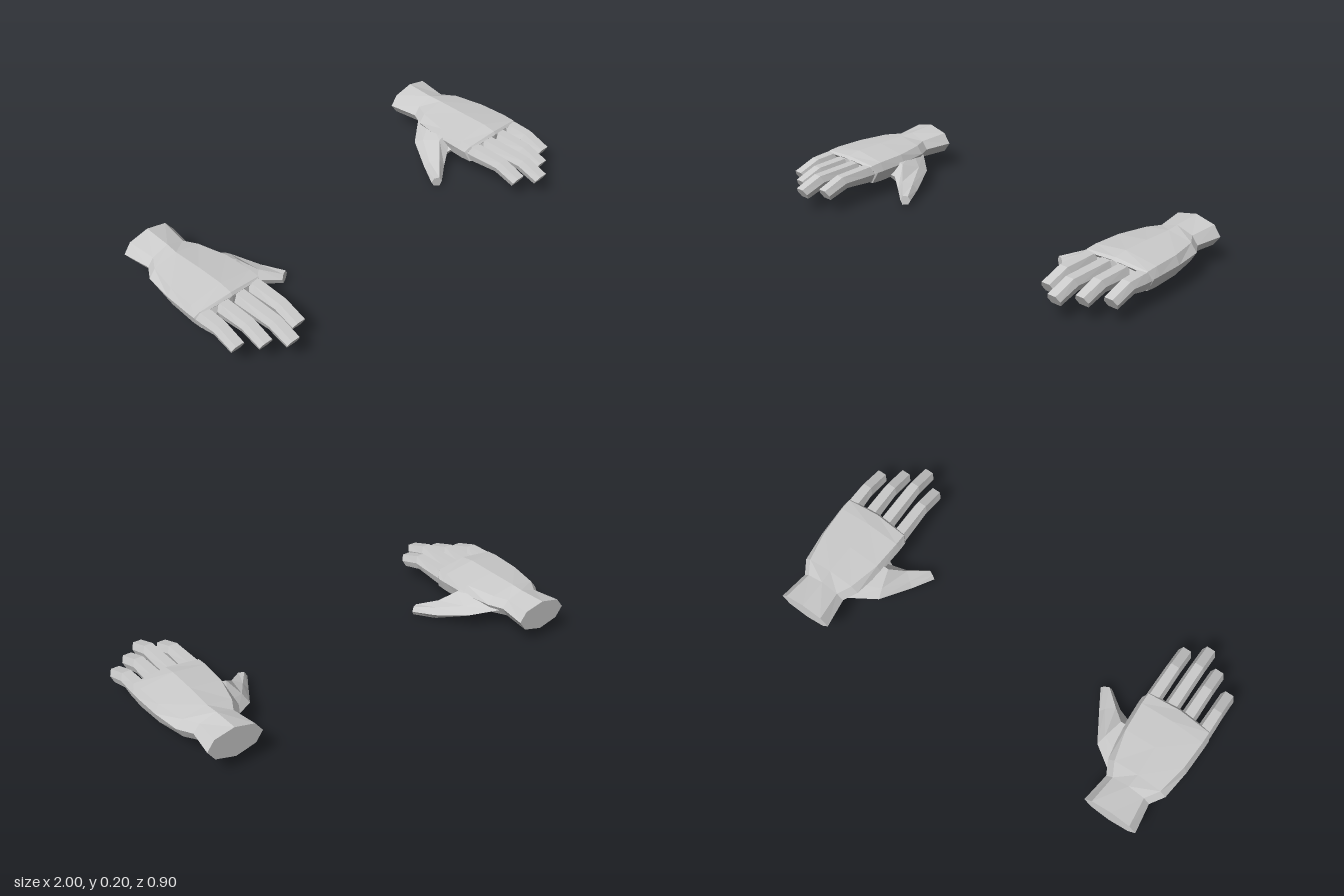
import * as THREE from 'three';

const material = new THREE.MeshStandardMaterial({ color: 0xcccccc, flatShading: true });

// Skin equal-sized rings of [x, y, z] points into a closed solid, facing outwards
function loft(name, rings, side) {
  const n = rings[0].length;
  const pts = rings.flat().map(([x, y, z]) => new THREE.Vector3(x * side, y, z));
  const tris = [];
  for (let r = 0; r < rings.length - 1; r++) {
    for (let i = 0; i < n; i++) {
      const a = r * n + i, b = r * n + (i + 1) % n;
      tris.push([a, b, b + n], [a, b + n, a + n]);
    }
  }
  const last = (rings.length - 1) * n;
  for (let i = 1; i < n - 1; i++) {
    tris.push([0, i + 1, i], [last, last + i, last + i + 1]);
  }
  // signed volume tells which way the faces turn
  let volume = 0;
  const cross = new THREE.Vector3();
  for (const [a, b, c] of tris) volume += pts[a].dot(cross.crossVectors(pts[b], pts[c]));
  const pos = [];
  for (const [a, b, c] of tris) {
    for (const k of volume < 0 ? [a, c, b] : [a, b, c]) pos.push(...pts[k].toArray());
  }
  const geometry = new THREE.BufferGeometry();
  geometry.setAttribute('position', new THREE.Float32BufferAttribute(pos, 3));
  geometry.computeVertexNormals();
  const mesh = new THREE.Mesh(geometry, material);
  mesh.name = name;
  return mesh;
}

// Eight-sided palm section; the middle can bulge forward
function palmRing(z, x0, x1, inset, [top, upper, mid, lower, bottom], bulge = 0) {
  const c = (x0 + x1) / 2;
  return [
    [c, top, z + bulge], [x1 - inset, upper, z + bulge * 0.7], [x1, mid, z], [x1 - inset, lower, z + bulge * 0.7],
    [c, bottom, z + bulge], [x0 + inset, lower, z + bulge * 0.7], [x0, mid, z], [x0 + inset, upper, z + bulge * 0.7],
  ];
}

// Six-sided finger section, slanted from its top edge to its bottom edge
function fingerRing(x, w, zTop, yTop, zBot, yBot) {
  const zm = (zTop + zBot) / 2, ym = (yTop + yBot) / 2;
  return [
    [x - w * 0.6, yTop, zTop], [x + w * 0.6, yTop, zTop], [x + w, ym, zm],
    [x + w * 0.7, yBot, zBot], [x - w * 0.7, yBot, zBot], [x - w, ym, zm],
  ];
}

// Six-sided thumb section between an outer and an inner edge [x, z, low y, high y]
function thumbRing(o, i) {
  const at = (t, k) => [o[0] + (i[0] - o[0]) * t, k, o[1] + (i[1] - o[1]) * t];
  return [
    at(0, (o[2] + o[3]) / 2), at(0.25, o[3]), at(0.75, i[3]),
    at(1, (i[2] + i[3]) / 2), at(0.8, i[2]), at(0.25, o[2]),
  ];
}

function createHand(side) {
  const hand = new THREE.Group();
  hand.name = side > 0 ? 'leftHand' : 'rightHand';

  // wrist, back of the hand and knuckle rim
  hand.add(loft('palm', [
    palmRing(-0.45, 0.695, 0.955, 0.035, [0.197, 0.175, 0.128, 0.08, 0.055]),
    palmRing(-0.31, 0.715, 0.935, 0.03, [0.19, 0.165, 0.128, 0.082, 0.075]),
    palmRing(-0.245, 0.682, 0.977, 0.03, [0.188, 0.167, 0.13, 0.08, 0.077]),
    palmRing(-0.1, 0.656, 0.995, 0.02, [0.19, 0.169, 0.13, 0.077, 0.075]),
    palmRing(0.04, 0.65, 1.0, 0.018, [0.19, 0.169, 0.13, 0.075, 0.072]),
    palmRing(0.075, 0.65, 1.0, 0.018, [0.18, 0.165, 0.13, 0.078, 0.076], 0.03),
    palmRing(0.085, 0.657, 0.993, 0.018, [0.168, 0.156, 0.13, 0.084, 0.082], 0.03),
  ], side));

  // four fingers, bent down at the last joint: [centre x, tip z]
  const fingers = { index: [0.695, 0.385], middle: [0.782, 0.448], ring: [0.868, 0.38], little: [0.96, 0.315] };
  for (const [name, [x, tip]] of Object.entries(fingers)) {
    hand.add(loft(name + 'Finger', [
      fingerRing(x, 0.036, 0.06, 0.163, 0.06, 0.084),
      fingerRing(x, 0.036, 0.125, 0.161, 0.125, 0.088),
      fingerRing(x, 0.034, tip - 0.11, 0.157, tip - 0.135, 0.098),
      fingerRing(x, 0.034, tip, 0.118, tip - 0.03, 0.068),
    ], side));
  }

  // thumb, reaching inwards, forwards and down
  hand.add(loft('thumb', [
    thumbRing([0.72, -0.29, 0.08, 0.14], [0.72, 0.0, 0.073, 0.15]),
    thumbRing([0.6, -0.2, 0.05, 0.105], [0.648, -0.03, 0.025, 0.135]),
    thumbRing([0.52, -0.06, 0.01, 0.068], [0.595, 0.0, 0.0, 0.08]),
    thumbRing([0.463, 0.04, 0.008, 0.05], [0.51, 0.063, 0.003, 0.05]),
  ], side));
  return hand;
}

export function createModel() {
  const model = new THREE.Group();
  model.name = 'pairOfHands';
  model.add(createHand(1), createHand(-1));
  return model;
}
